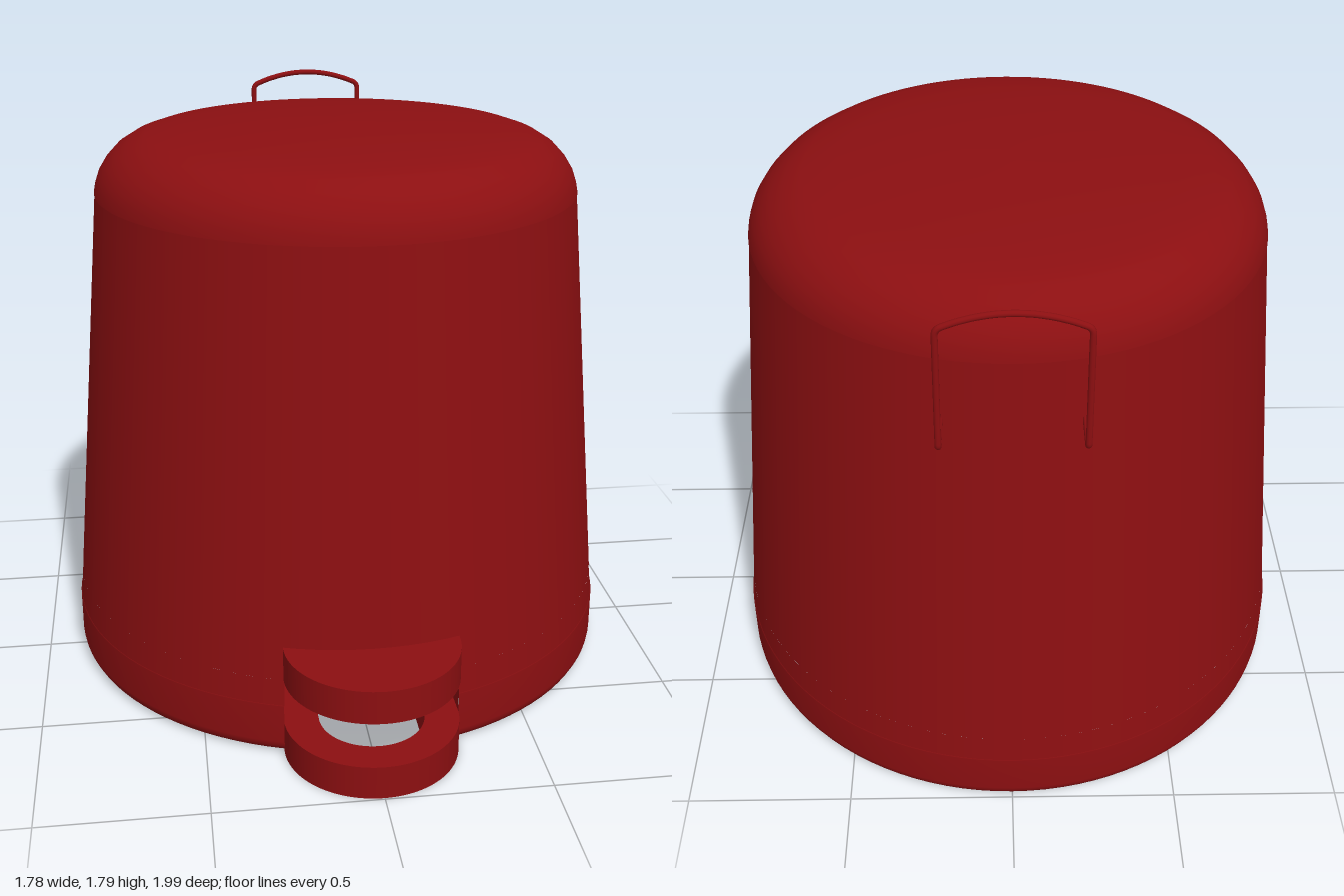
import * as THREE from 'three';

const CZ = -0.108;              // z of the bin's axis
const HALF = 0.265;             // half width of pedal and its slot
const SLOT_BACK = 0.33, SLOT_TOP = 0.25, PEDAL_Z = 0.73;

export function createModel() {
  const group = new THREE.Group();
  const red = new THREE.MeshStandardMaterial({ color: 0x8c0f11 });
  red.name = 'dark red';

  const add = (name, geometry, x = 0, y = 0, z = 0) => {
    const mesh = new THREE.Mesh(geometry, red);
    mesh.name = name;
    mesh.position.set(x, y, z);
    group.add(mesh);
    return mesh;
  };
  const lathe = (points, gap = 0) => new THREE.LatheGeometry(
    points.map(([r, y]) => new THREE.Vector2(r, y)), 96, gap, Math.PI * 2 - 2 * gap);
  // Lays a shape drawn in x and z flat, extruded downwards from y = 0
  const slab = (shape, depth) => new THREE.ExtrudeGeometry(
    shape, { depth, bevelEnabled: false, curveSegments: 32 }).rotateX(Math.PI / 2);

  // Base ring and lowest body strip, open at the pedal slot
  const gap = Math.asin(HALF / 0.888);
  add('baseRing', lathe([[0.85, 0], [0.865, 0.003], [0.88, 0.012], [0.887, 0.025],
    [0.89, 0.04], [0.89, 0.165], [0.885, 0.167]], gap), 0, 0, CZ);
  const radiusAt = (y) => 0.887 - (y - 0.165) * 0.0881;
  add('bodyLower', lathe([[radiusAt(0.165), 0.165], [radiusAt(SLOT_TOP), SLOT_TOP]], gap), 0, 0, CZ);

  // Tapered body
  add('body', lathe([[radiusAt(SLOT_TOP), SLOT_TOP], [radiusAt(1.55), 1.55]]), 0, 0, CZ);

  // Domed lid
  add('lid', lathe([[0.767, 1.548], [0.762, 1.575], [0.75, 1.61], [0.728, 1.645],
    [0.695, 1.68], [0.65, 1.708], [0.6, 1.725], [0.5, 1.739], [0.35, 1.753],
    [0.18, 1.762], [0, 1.765]]), 0, 0, CZ);

  // Underside with the slot cut out
  const d = Math.asin(HALF / 0.85);
  const under = new THREE.Shape();
  under.moveTo(-HALF, SLOT_BACK);
  under.absarc(0, CZ, 0.85, Math.PI / 2 + d, Math.PI * 2.5 - d, false);
  under.lineTo(HALF, SLOT_BACK);
  under.closePath();
  add('underside', new THREE.ShapeGeometry(under, 96).rotateX(Math.PI / 2));

  // Slot walls
  const sideLength = 0.741 - SLOT_BACK;
  for (const s of [-1, 1]) {
    add('slotSide', new THREE.PlaneGeometry(sideLength, SLOT_TOP).rotateY(-s * Math.PI / 2),
      s * HALF, SLOT_TOP / 2, SLOT_BACK + sideLength / 2);
  }
  add('slotBack', new THREE.PlaneGeometry(2 * HALF, SLOT_TOP), 0, SLOT_TOP / 2, SLOT_BACK);

  // Upper guard: solid rounded tongue
  const tongue = new THREE.Shape();
  tongue.moveTo(-HALF, SLOT_BACK);
  tongue.lineTo(HALF, SLOT_BACK);
  tongue.absarc(0, PEDAL_Z, HALF, 0, Math.PI, false);
  tongue.closePath();
  add('upperGuard', slab(tongue, 0.105), 0, 0.355, 0);

  // Pedal: U-shaped loop
  const inner = 0.16;
  const loop = new THREE.Shape();
  loop.moveTo(inner, SLOT_BACK);
  loop.lineTo(HALF, SLOT_BACK);
  loop.absarc(0, PEDAL_Z, HALF, 0, Math.PI, false);
  loop.lineTo(-HALF, SLOT_BACK);
  loop.lineTo(-inner, SLOT_BACK);
  loop.absarc(0, PEDAL_Z, inner, Math.PI, 0, true);
  loop.closePath();
  add('pedal', slab(loop, 0.105), 0, 0.105, 0);

  // Wire handle: straight runs with tight rounded corners and an arched top
  const v = (x, y, z) => new THREE.Vector3(x, y, z);
  const w = 0.193, hz = -0.99;
  const arch = [];
  for (let i = 0; i <= 8; i++) {
    const t = i / 4 - 1;
    arch.push(v(t * w, 1.777 - 0.045 * t * t, hz));
  }
  const pts = [v(-w, 1.365, -0.85), v(-w, 1.365, hz), ...arch, v(w, 1.365, hz), v(w, 1.365, -0.85)];
  const path = new THREE.CurvePath();
  let from = pts[0];
  for (let i = 1; i < pts.length - 1; i++) {
    const p = pts[i];
    const a = p.clone().add(pts[i - 1].clone().sub(p).setLength(0.018));
    const b = p.clone().add(pts[i + 1].clone().sub(p).setLength(0.018));
    path.add(new THREE.LineCurve3(from, a));
    path.add(new THREE.QuadraticBezierCurve3(a, p, b));
    from = b;
  }
  path.add(new THREE.LineCurve3(from, pts[pts.length - 1]));
  add('handle', new THREE.TubeGeometry(path, 240, 0.009, 10, false));

  return group;
}
